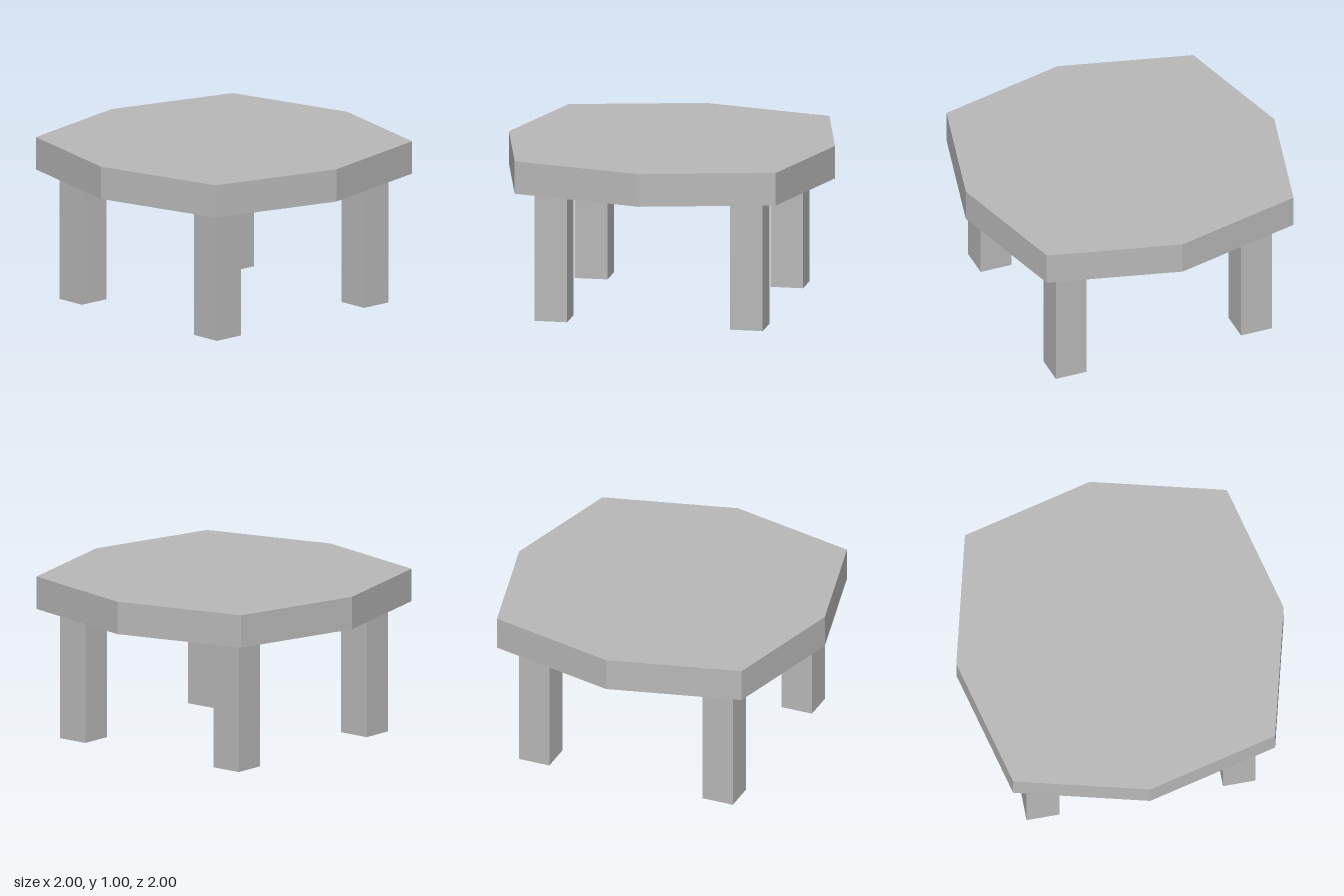
import * as THREE from 'three';

export function createModel() {
  const model = new THREE.Group();
  model.name = 'table';

  const grey = new THREE.MeshStandardMaterial({ color: 0xb8b8b8 });
  grey.name = 'grey';

  // Eight-sided table top, slightly squared at the corners
  const outline = new THREE.Shape([
    [1, 0], [0.8, 0.8], [0, 1], [-0.8, 0.8],
    [-1, 0], [-0.8, -0.8], [0, -1], [0.8, -0.8],
  ].map(([x, y]) => new THREE.Vector2(x, y)));
  const topGeometry = new THREE.ExtrudeGeometry(outline, { depth: 0.2, bevelEnabled: false });
  topGeometry.rotateX(-Math.PI / 2);
  const tableTop = new THREE.Mesh(topGeometry, grey);
  tableTop.name = 'tableTop';
  tableTop.position.y = 0.8;
  model.add(tableTop);

  // Four square legs
  const legGeometry = new THREE.BoxGeometry(0.2, 0.8, 0.2);
  for (const [side, x] of [['Left', 0.6], ['Right', -0.6]]) {
    for (const [end, z] of [['front', 0.6], ['back', -0.6]]) {
      const leg = new THREE.Mesh(legGeometry, grey);
      leg.name = `${end}${side}Leg`;
      leg.position.set(x, 0.4, z);
      model.add(leg);
    }
  }

  return model;
}
